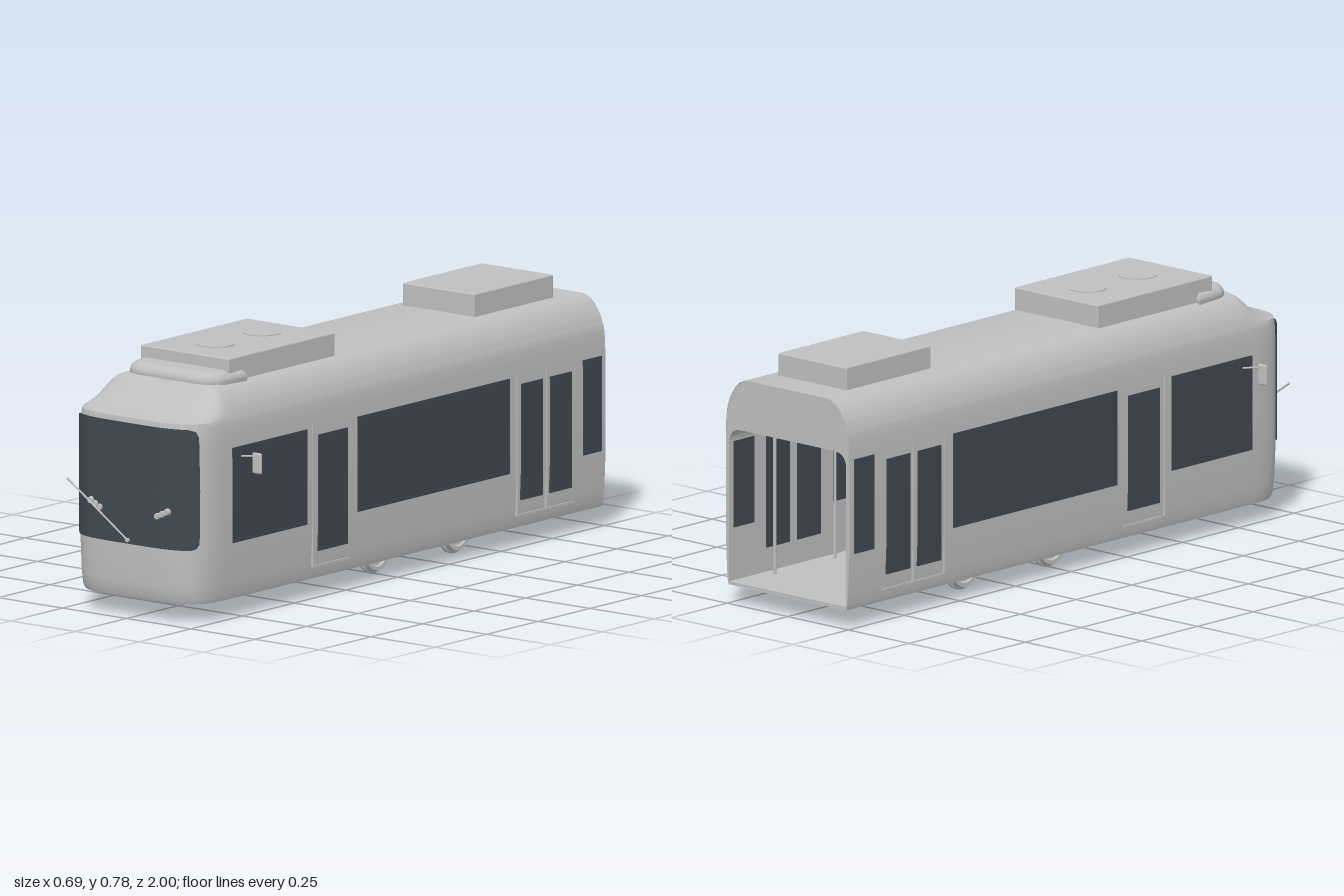
import * as THREE from 'three';
import { toCreasedNormals } from 'three/addons/utils/BufferGeometryUtils.js';
import { RoundedBoxGeometry } from 'three/addons/geometries/RoundedBoxGeometry.js';

const body = new THREE.MeshStandardMaterial({ name: 'bodyGrey', color: 0xbfbfbf, side: THREE.DoubleSide });
const glass = new THREE.MeshStandardMaterial({ name: 'darkGlass', color: 0x40484f, side: THREE.DoubleSide });

// Body levels: height, half width, nose position
const LEVELS = [
  [0.065, 0.243, 0.975], [0.08, 0.247, 0.982], [0.12, 0.25, 0.986], [0.235, 0.255, 0.988], [0.5, 0.255, 0.988],
  [0.58, 0.253, 0.988], [0.61, 0.25, 0.988], [0.625, 0.247, 0.985], [0.632, 0.244, 0.95], [0.645, 0.24, 0.9],
  [0.66, 0.233, 0.875], [0.69, 0.213, 0.845], [0.705, 0.195, 0.83], [0.715, 0.17, 0.815],
];
const NOSE = 0.78; // where the straight sides begin to curve

function add(parent, name, geometry, material, x = 0, y = 0, z = 0) {
  const mesh = new THREE.Mesh(geometry, material);
  mesh.name = name;
  mesh.position.set(x, y, z);
  parent.add(mesh);
  return mesh;
}

// Surface through rows of points
function loft(rows) {
  const n = rows[0].length, index = [];
  for (let v = 0; v < rows.length - 1; v++) {
    for (let u = 0; u < n - 1; u++) {
      const a = v * n + u, d = a + n;
      index.push(a, a + 1, d + 1, a, d + 1, d);
    }
  }
  const g = new THREE.BufferGeometry();
  g.setAttribute('position', new THREE.Float32BufferAttribute(rows.flat(2), 3));
  g.setIndex(index);
  return toCreasedNormals(g, 0.6);
}

// Plan outline at one level: straight sides and a squared-off round nose
function planRow([y, w, front]) {
  const row = [[-w, y, -1]];
  for (let i = 0; i <= 36; i++) {
    const t = (i / 36 - 0.5) * Math.PI, s = Math.sin(t);
    row.push([w * Math.sign(s) * Math.sqrt(Math.abs(s)), y, NOSE + (front - NOSE) * Math.sqrt(Math.max(0, Math.cos(t)))]);
  }
  row.push([w, y, -1]);
  return row;
}

function rod(parent, name, a, b, r, material = body) {
  const p = new THREE.Vector3(...a), q = new THREE.Vector3(...b);
  const mesh = add(parent, name, new THREE.CylinderGeometry(r, r, p.distanceTo(q), 10), material);
  mesh.position.copy(p).lerp(q, 0.5);
  mesh.quaternion.setFromUnitVectors(new THREE.Vector3(0, 1, 0), q.sub(p).normalize());
  return mesh;
}

function box(parent, name, x0, x1, y0, y1, z0, z1, material = body) {
  return add(parent, name, new THREE.BoxGeometry(Math.abs(x1 - x0), y1 - y0, Math.abs(z1 - z0)), material,
    (x0 + x1) / 2, (y0 + y1) / 2, (z0 + z1) / 2);
}

function buildShell(g) {
  const first = LEVELS[0], last = LEVELS[LEVELS.length - 1];
  add(g, 'bodyShell', loft([[first[0], 0, first[2]], ...LEVELS, [last[0] + 0.002, 0, last[2]]].map(planRow)), body);

  // Wall thickness around the open-ended cabin
  const right = LEVELS.map(([y, w]) => new THREE.Vector2(w - 0.001, y + (y < 0.1 ? 0.001 : -0.001)));
  const ring = new THREE.Shape([...right, ...right.map(p => new THREE.Vector2(-p.x, p.y)).reverse()]);
  const hole = new THREE.Path(), w = 0.241, top = 0.555, r = 0.05;
  hole.moveTo(-w, 0.075).lineTo(-w, top - r).quadraticCurveTo(-w, top, -w + r, top);
  hole.lineTo(w - r, top).quadraticCurveTo(w, top, w, top - r).lineTo(w, 0.075);
  ring.holes.push(hole);
  add(g, 'cabinWalls', new THREE.ExtrudeGeometry(ring, { depth: 1.75, bevelEnabled: false, curveSegments: 8 }), body, 0, 0, -1);
  box(g, 'cabBulkhead', -0.243, 0.243, 0.072, 0.56, 0.74, 0.75);
  box(g, 'cabStep', -0.235, 0.235, 0.075, 0.15, 0.5, 0.74);

  // Windscreen follows the nose
  const rows = [[0.235, 0.215], [0.24, 0.229], [0.255, 0.235], [0.42, 0.236], [0.585, 0.234], [0.603, 0.228], [0.61, 0.21]].map(([y, half]) => {
    const row = [], hw = 0.258, front = 0.9915;
    for (let i = 0; i <= 40; i++) {
      const x = half * Math.sin((i / 40 - 0.5) * Math.PI);
      row.push([x, y, NOSE + (front - NOSE) * Math.pow(1 - Math.pow(x / hw, 4), 0.25)]);
    }
    return row;
  });
  add(g, 'windscreen', loft(rows), glass);
}

function buildSide(g, s) {
  // Windows and door panes: rear z, front z, bottom, top
  const panes = [
    ['cabWindow', 0.445, 0.805, 0.24, 0.535], ['frontDoorPane', 0.25, 0.39, 0.15, 0.51],
    ['longWindow', -0.535, 0.2, 0.24, 0.535], ['rearDoorPane', -0.695, -0.59, 0.15, 0.51],
    ['rearDoorPane', -0.835, -0.73, 0.15, 0.51], ['rearWindow', -0.98, -0.89, 0.24, 0.535],
  ];
  for (const [name, z0, z1, y0, y1] of panes) {
    box(g, name, s * 0.25, s * 0.2575, y0, y1, z0, z1, glass);
    box(g, name + 'Inside', s * 0.2385, s * 0.243, y0, Math.min(y1, 0.51), z0, Math.min(z1, 0.738), glass);
  }
  // Door edge strips and sills
  for (const z of [0.415, -0.573, -0.714]) box(g, 'doorEdge', s * 0.248, s * 0.258, 0.105, 0.54, z - 0.003, z + 0.003);
  box(g, 'frontDoorSill', s * 0.245, s * 0.253, 0.1, 0.106, 0.235, 0.41);
  box(g, 'rearDoorSill', s * 0.245, s * 0.253, 0.1, 0.106, -0.85, -0.575);

  // Grab poles and ceiling rail
  for (const z of [-0.84, -0.57, 0.23, 0.41]) rod(g, 'grabPole', [s * 0.2, 0.075, z], [s * 0.2, 0.555, z], 0.005);
  rod(g, 'ceilingRail', [s * 0.2, 0.5, -0.84], [s * 0.2, 0.5, 0.41], 0.004);

  // Mirror
  rod(g, 'mirrorArm', [s * 0.25, 0.502, 0.762], [s * 0.315, 0.513, 0.778], 0.003);
  add(g, 'mirror', new RoundedBoxGeometry(0.035, 0.065, 0.012, 3, 0.0059), body, s * 0.328, 0.492, 0.775);

  // Headlight cluster
  for (const [x, y] of [[0.112, 0.335], [0.13, 0.343], [0.148, 0.352]]) {
    const lamp = add(g, 'headlight', new THREE.CylinderGeometry(0.009, 0.012, 0.014, 20), body, s * x, y, 0.989);
    lamp.rotation.x = Math.PI / 2;
  }
}

function buildRoof(g) {
  const pod = (name, half, z0, z1) => add(g, name, new RoundedBoxGeometry(half * 2, 0.075, z1 - z0, 2, 0.004), body, 0, 0.7485, (z0 + z1) / 2);
  pod('frontRoofUnit', 0.172, 0.205, 0.72);
  pod('rearRoofUnit', 0.14, -0.89, -0.508);
  for (const z of [0.345, 0.57]) add(g, 'roofFan', new THREE.CylinderGeometry(0.058, 0.058, 0.004, 32), body, 0, 0.787, z);

  // Rounded fairing ahead of the front unit
  const plan = new THREE.Shape();
  plan.moveTo(-0.15, -0.68).lineTo(-0.145, -0.74).quadraticCurveTo(-0.14, -0.77, -0.1, -0.772);
  plan.lineTo(0.1, -0.772).quadraticCurveTo(0.14, -0.77, 0.145, -0.74).lineTo(0.15, -0.68);
  const fairing = new THREE.ExtrudeGeometry(plan, { depth: 0.005, bevelThickness: 0.03, bevelSize: 0.035, bevelSegments: 5 });
  fairing.rotateX(-Math.PI / 2).scale(1, 1, -1);
  // Restore outward winding after the mirror
  const p = fairing.attributes.position;
  for (let i = 0; i < p.count; i += 3) {
    const a = [p.getX(i), p.getY(i), p.getZ(i)];
    p.setXYZ(i, p.getX(i + 1), p.getY(i + 1), p.getZ(i + 1));
    p.setXYZ(i + 1, ...a);
  }
  fairing.rotateY(Math.PI).scale(1, 1, 1);
  fairing.computeBoundingBox();
  if (fairing.boundingBox.max.z < 0) fairing.rotateY(Math.PI);
  add(g, 'roofFairing', toCreasedNormals(fairing, 0.6), body, 0, 0.715, 0);
}

function buildUnderside(g) {
  // Wheel with inner flange, turned about its axle
  const wheel = new THREE.LatheGeometry([[0, -0.014], [0.068, -0.014], [0.068, -0.006], [0.06, -0.002], [0.057, 0.012], [0.045, 0.012], [0.04, 0.006], [0, 0.006]]
    .map(([r, h]) => new THREE.Vector2(r, h)), 32);
  const wheelGeo = toCreasedNormals(wheel, 0.5);
  for (const z of [0, -0.39]) {
    rod(g, 'axle', [-0.16, 0.062, z], [0.16, 0.062, z], 0.007);
    for (const s of [-1, 1]) {
      add(g, 'wheel', wheelGeo, body, s * 0.163, 0.073, z).rotation.z = -s * Math.PI / 2;
      box(g, 'axleBox', s * 0.17, s * 0.195, 0.05, 0.068, z - 0.03, z + 0.03);
    }
  }
  for (const z of [-0.1, -0.29]) {
    rod(g, 'motor', [-0.09, 0.056, z], [0.063, 0.056, z], 0.016);
    for (const s of [-1, 1]) {
      const bracket = add(g, 'brakeBracket', new THREE.CylinderGeometry(0.032, 0.032, 0.01, 20), body, s * 0.103, 0.06, z);
      bracket.rotation.z = Math.PI / 2;
    }
  }
}

export function createModel() {
  const g = new THREE.Group();
  g.name = 'tramCar';
  buildShell(g);
  for (const s of [-1, 1]) buildSide(g, s);
  buildRoof(g);
  buildUnderside(g);
  // Wiper
  rod(g, 'wiper', [0, 0.247, 0.996], [-0.235, 0.41, 0.996], 0.003);
  add(g, 'wiperPivot', new THREE.CylinderGeometry(0.006, 0.006, 0.012, 16), body, 0, 0.247, 0.994).rotation.x = Math.PI / 2;
  return g;
}
